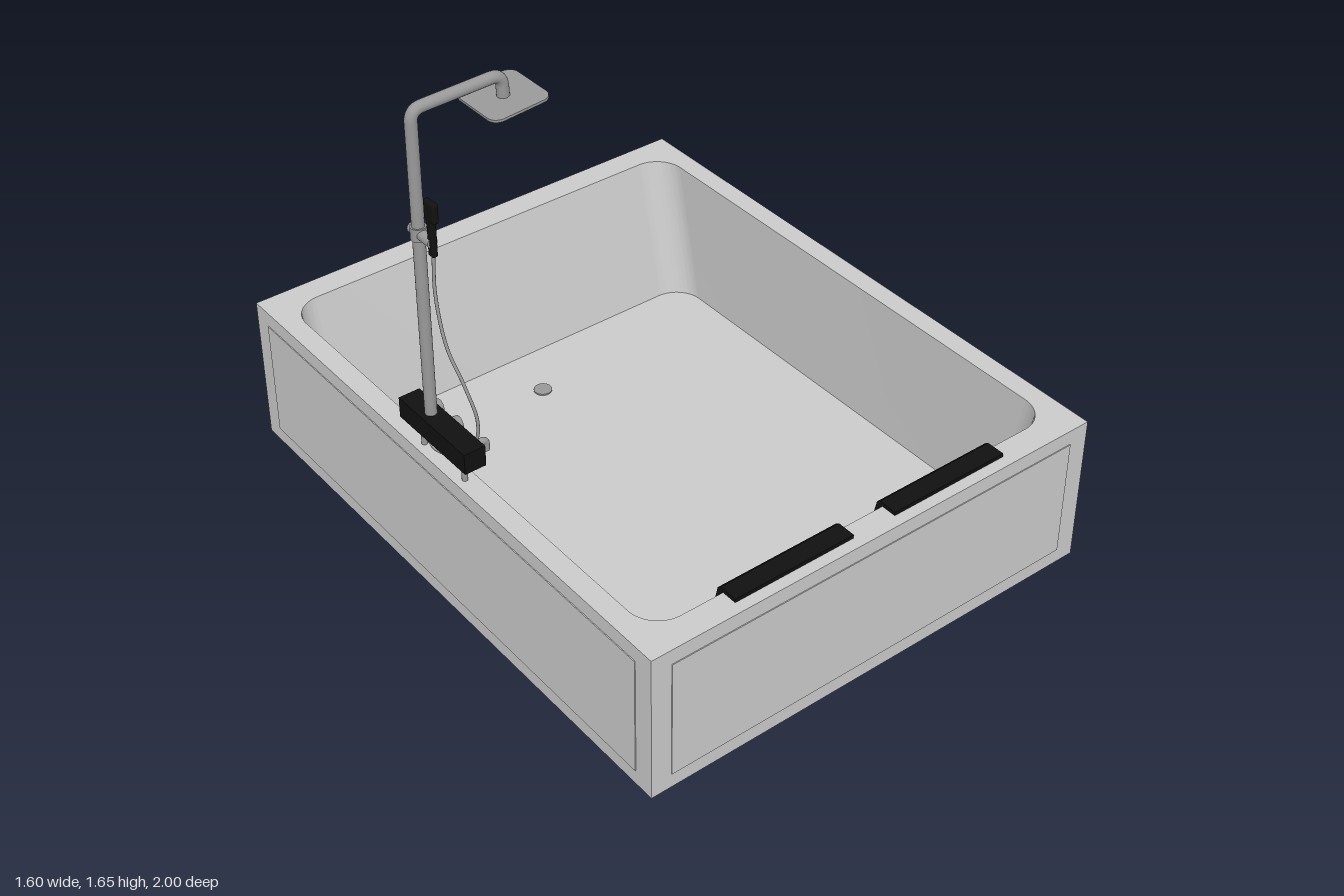
import * as THREE from 'three';
import { toCreasedNormals } from 'three/addons/utils/BufferGeometryUtils.js';
import { RoundedBoxGeometry } from 'three/addons/geometries/RoundedBoxGeometry.js';

const grey = new THREE.MeshStandardMaterial({ color: 0xcccccc });
const metal = new THREE.MeshStandardMaterial({ color: 0x999999 });
const black = new THREE.MeshStandardMaterial({ color: 0x111111 });

function add(parent, name, geometry, material, x = 0, y = 0, z = 0) {
  const mesh = new THREE.Mesh(geometry, material);
  mesh.name = name;
  mesh.position.set(x, y, z);
  parent.add(mesh);
  return mesh;
}

// Rounded rectangle centred on the origin
function roundedRect(path, hx, hy, r) {
  path.absarc(hx - r, hy - r, r, 0, Math.PI / 2);
  path.absarc(-hx + r, hy - r, r, Math.PI / 2, Math.PI);
  path.absarc(-hx + r, -hy + r, r, Math.PI, Math.PI * 1.5);
  path.absarc(hx - r, -hy + r, r, Math.PI * 1.5, Math.PI * 2);
  path.closePath();
  return path;
}

// Pipe of straight runs with rounded bends
function pipe(points, radius, bend) {
  const v = points.map((p) => new THREE.Vector3(...p));
  const path = new THREE.CurvePath();
  let from = v[0];
  for (let i = 1; i < v.length - 1; i++) {
    const a = v[i].clone().add(v[i - 1].clone().sub(v[i]).setLength(bend));
    const b = v[i].clone().add(v[i + 1].clone().sub(v[i]).setLength(bend));
    path.add(new THREE.LineCurve3(from, a));
    path.add(new THREE.QuadraticBezierCurve3(a, v[i], b));
    from = b;
  }
  path.add(new THREE.LineCurve3(from, v[v.length - 1]));
  return new THREE.TubeGeometry(path, 120, radius, 20);
}

function buildTub() {
  const tub = new THREE.Group();
  tub.name = 'tub';
  const floorY = 0.02, hx = 0.797, hz = 0.997;

  // Surround with a rounded opening whose end walls slope inwards at the bottom
  const outline = new THREE.Shape();
  outline.moveTo(-hx, -hz).lineTo(hx, -hz).lineTo(hx, hz).lineTo(-hx, hz).closePath();
  outline.holes.push(roundedRect(new THREE.Path(), 0.73, 0.91, 0.1));
  const shell = new THREE.ExtrudeGeometry(outline, { depth: 0.5 - floorY, bevelEnabled: false, curveSegments: 12 });
  shell.rotateX(-Math.PI / 2).translate(0, floorY, 0);
  const p = shell.attributes.position;
  for (let i = 0; i < p.count; i++) {
    const inner = Math.abs(p.getX(i)) < 0.79 && Math.abs(p.getZ(i)) < 0.99;
    if (inner && p.getY(i) < floorY + 0.01) p.setZ(i, p.getZ(i) - Math.sign(p.getZ(i)) * 0.11);
  }
  add(tub, 'basin surround', toCreasedNormals(shell, 0.5), grey);
  add(tub, 'basin floor', new THREE.BoxGeometry(hx * 2, floorY, hz * 2), grey, 0, floorY / 2, 0);
  add(tub, 'drain', new THREE.CylinderGeometry(0.03, 0.03, 0.006, 32), metal, 0, floorY + 0.002, -0.61);

  // Thin panels on the four outer sides
  for (const s of [-1, 1]) {
    add(tub, 'end panel', new THREE.BoxGeometry(1.46, 0.4, 0.006), grey, 0, 0.25, s * hz);
    add(tub, 'side panel', new THREE.BoxGeometry(0.006, 0.4, 1.86), grey, s * hx, 0.25, 0);
  }
  return tub;
}

// Pad folded over the rim and down the sloping front wall
function buildBackrest() {
  const profile = new THREE.Shape([
    [0.96, 0.5], [0.96, 0.512], [0.9, 0.512], [0.888, 0.503],
    [0.82, 0.205], [0.842, 0.2], [0.911, 0.5],
  ].map(([z, y]) => new THREE.Vector2(-z, y)));
  const geometry = new THREE.ExtrudeGeometry(profile, { depth: 0.415, bevelEnabled: false });
  return geometry.rotateY(Math.PI / 2).translate(-0.2075, 0, 0);
}

function buildShower() {
  const shower = new THREE.Group();
  shower.name = 'shower';
  const px = -0.765, pz = -0.05;

  // Mixer block on two legs
  add(shower, 'mixer block', new THREE.BoxGeometry(0.07, 0.068, 0.33), black, px, 0.606, 0.002);
  for (const z of [0.108, -0.097]) {
    add(shower, 'mixer leg', new THREE.CylinderGeometry(0.009, 0.009, 0.08, 20), metal, px, 0.538, z);
  }
  for (const z of [-0.002, -0.1]) {
    const knob = add(shower, 'knob', new THREE.CylinderGeometry(0.021, 0.025, 0.03, 28), metal, -0.718, 0.605, z);
    knob.rotation.z = -Math.PI / 2;
  }
  const spout = [[-0.735, 0.598, 0.1], [-0.685, 0.598, 0.1], [-0.685, 0.564, 0.1]];
  add(shower, 'spout', pipe(spout, 0.011, 0.014), metal);

  // Riser, arm and overhead rose
  const riser = [[px, 0.63, pz], [px, 1.62, pz], [-0.48, 1.628, pz], [-0.477, 1.562, pz]];
  add(shower, 'riser and arm', pipe(riser, 0.018, 0.035), metal);
  const plate = new THREE.ExtrudeGeometry(roundedRect(new THREE.Shape(), 0.095, 0.097, 0.032),
    { depth: 0.008, bevelEnabled: false });
  plate.rotateX(-Math.PI / 2);
  const rose = add(shower, 'shower head', toCreasedNormals(plate, 0.6), metal, -0.475, 1.554, -0.053);
  rose.rotation.z = 0.08;

  // Sliding holder and hand shower
  const holder = add(shower, 'slider holder', new THREE.CylinderGeometry(0.016, 0.016, 0.1, 24), metal, px, 1.246, -0.032);
  holder.rotation.x = Math.PI / 2;
  add(shower, 'slider clamp', new THREE.CylinderGeometry(0.023, 0.023, 0.04, 24), metal, px, 1.246, pz);
  add(shower, 'hand shower handle', new RoundedBoxGeometry(0.018, 0.14, 0.026, 3, 0.006), black, px, 1.275, 0.018);
  add(shower, 'hand shower head', new RoundedBoxGeometry(0.02, 0.063, 0.05, 3, 0.008), black, px, 1.348, 0.02);

  // Hose looping from the handle to under the mixer
  const hose = new THREE.CatmullRomCurve3([
    [px, 1.21, 0.018], [-0.768, 1.08, 0.02], [-0.76, 0.92, 0.048], [-0.735, 0.8, 0.085],
    [-0.712, 0.68, 0.106], [-0.712, 0.59, 0.088], [-0.73, 0.53, 0.04], [-0.75, 0.506, -0.02],
    [-0.76, 0.508, -0.055], [px, 0.535, -0.078], [px, 0.58, -0.08],
  ].map((q) => new THREE.Vector3(...q)));
  add(shower, 'hose', new THREE.TubeGeometry(hose, 120, 0.005, 12), metal);
  return shower;
}

export function createModel() {
  const model = new THREE.Group();
  model.name = 'bathtub with shower';
  model.add(buildTub(), buildShower());
  for (const s of [-1, 1]) add(model, 'backrest', buildBackrest(), black, s * 0.283, 0, 0);
  return model;
}
